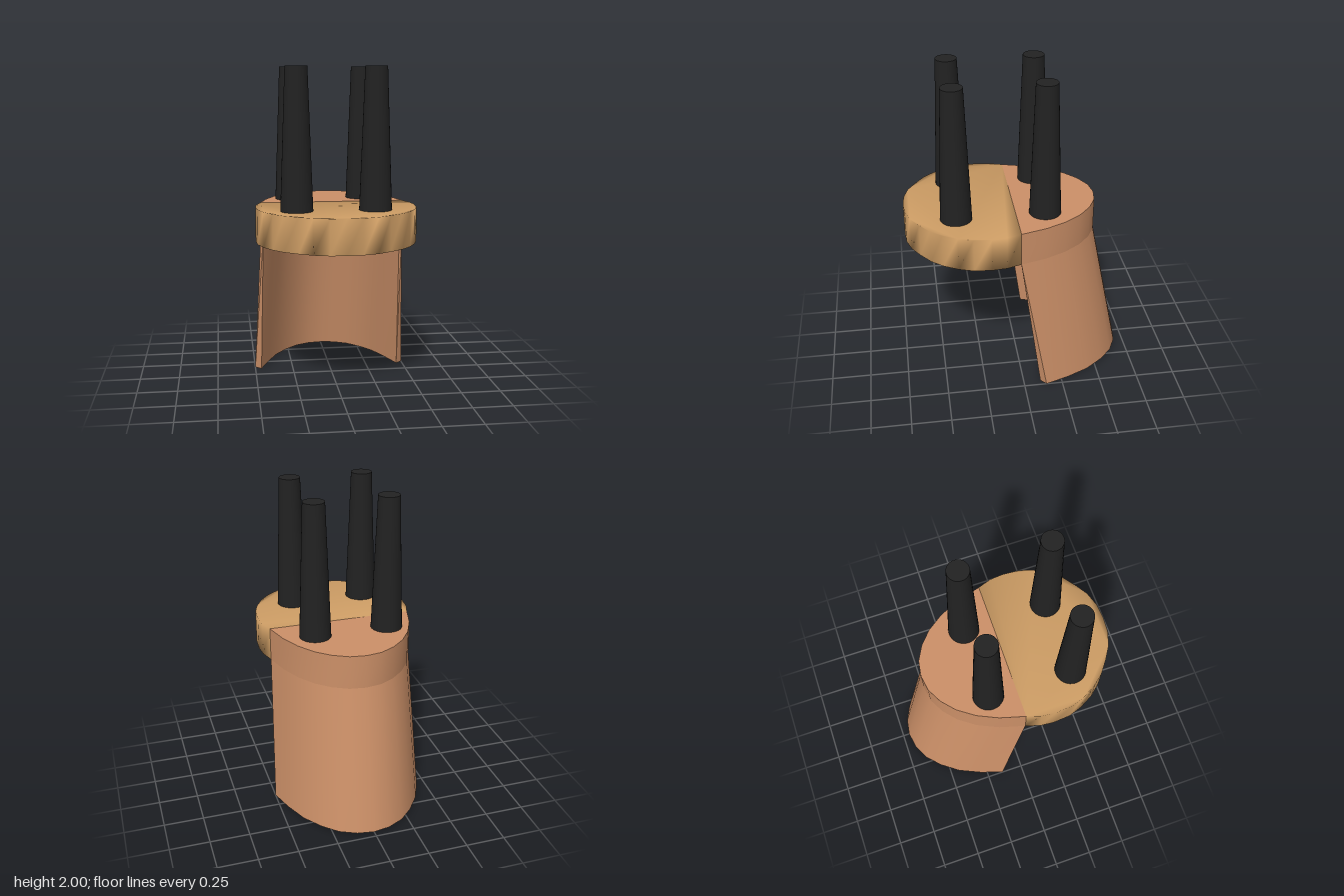
import * as THREE from 'three';
import { toCreasedNormals } from 'three/addons/utils/BufferGeometryUtils.js';

// Half outline ending on the centre line -> full outline, mirrored across x = 0
const mirror = (half) => [...half, ...half.slice(0, -1).reverse().map(([x, z]) => [-x, z])];

// Closed solid between two horizontal [x, z] outlines (counter-clockwise seen from above)
function loft(lower, y0, upper, y1) {
  const n = lower.length;
  const positions = [];
  for (const [x, z] of lower) positions.push(x, y0, z);
  for (const [x, z] of upper) positions.push(x, y1, z);
  const index = [];
  for (let i = 0; i < n; i++) {
    const j = (i + 1) % n;
    index.push(i, j, n + j, i, n + j, n + i);
  }
  const caps = THREE.ShapeUtils.triangulateShape(lower.map(([x, z]) => new THREE.Vector2(x, -z)), []);
  for (const [a, b, c] of caps) index.push(a, c, b, n + a, n + b, n + c);
  const geometry = new THREE.BufferGeometry();
  geometry.setAttribute('position', new THREE.Float32BufferAttribute(positions, 3));
  geometry.setIndex(index);
  geometry.computeVertexNormals();
  return geometry;
}

export function createModel() {
  const group = new THREE.Group();
  const seatWood = new THREE.MeshStandardMaterial({ color: 0xcc9c64 });
  const backWood = new THREE.MeshStandardMaterial({ color: 0xcc9068 });
  const black = new THREE.MeshStandardMaterial({ color: 0x222222 });
  const add = (name, geometry, material) => {
    const mesh = new THREE.Mesh(geometry, material);
    mesh.name = name;
    group.add(mesh);
    return mesh;
  };

  const seatBottom = 0.93, seatTop = 1.145;

  // Rounded front of the seat, softly shaded over its rim
  const front = mirror([
    [-0.46, 0.02], [-0.49, 0.11], [-0.498, 0.2], [-0.49, 0.31], [-0.46, 0.4], [-0.41, 0.49],
    [-0.35, 0.56], [-0.27, 0.62], [-0.19, 0.67], [-0.097, 0.7], [0, 0.707],
  ]);
  add('seatFront', loft(front, seatBottom, front, seatTop), seatWood);

  // Rear of the seat, sharing its outline with the backrest
  const outerTop = mirror([
    [0.46, 0.02], [0.415, -0.14], [0.355, -0.27], [0.28, -0.375], [0.195, -0.45], [0.1, -0.5], [0, -0.515],
  ]);
  add('seatRear', toCreasedNormals(loft(outerTop, seatBottom, outerTop, seatTop), 0.6), backWood);

  // Curved backrest shell, flaring away from the seat
  const innerTop = mirror([
    [0.443, 0.02], [0.365, -0.12], [0.31, -0.24], [0.24, -0.335], [0.17, -0.4], [0.09, -0.445], [0, -0.46],
  ]);
  const outerEnd = mirror([
    [0.5, -0.145], [0.45, -0.295], [0.385, -0.44], [0.3, -0.555], [0.21, -0.64], [0.105, -0.69], [0, -0.707],
  ]);
  const innerEnd = mirror([
    [0.46, -0.11], [0.4, -0.27], [0.34, -0.405], [0.265, -0.51], [0.185, -0.59], [0.093, -0.637], [0, -0.652],
  ]);
  const shell = loft(
    [...outerEnd, ...innerEnd.reverse()], 0,
    [...outerTop, ...innerTop.reverse()], seatBottom,
  );
  add('backrest', toCreasedNormals(shell, 0.6), backWood);

  // Four tapered legs
  const legs = [
    ['frontLegLeft', 0.218, 0.39], ['frontLegRight', -0.258, 0.385],
    ['backLegLeft', 0.215, -0.163], ['backLegRight', -0.252, -0.157],
  ];
  const legHeight = 2 - seatTop;
  const legGeometry = new THREE.CylinderGeometry(0.067, 0.099, legHeight, 32);
  for (const [name, x, z] of legs) {
    add(name, legGeometry, black).position.set(x, seatTop + legHeight / 2, z);
  }

  return group;
}
